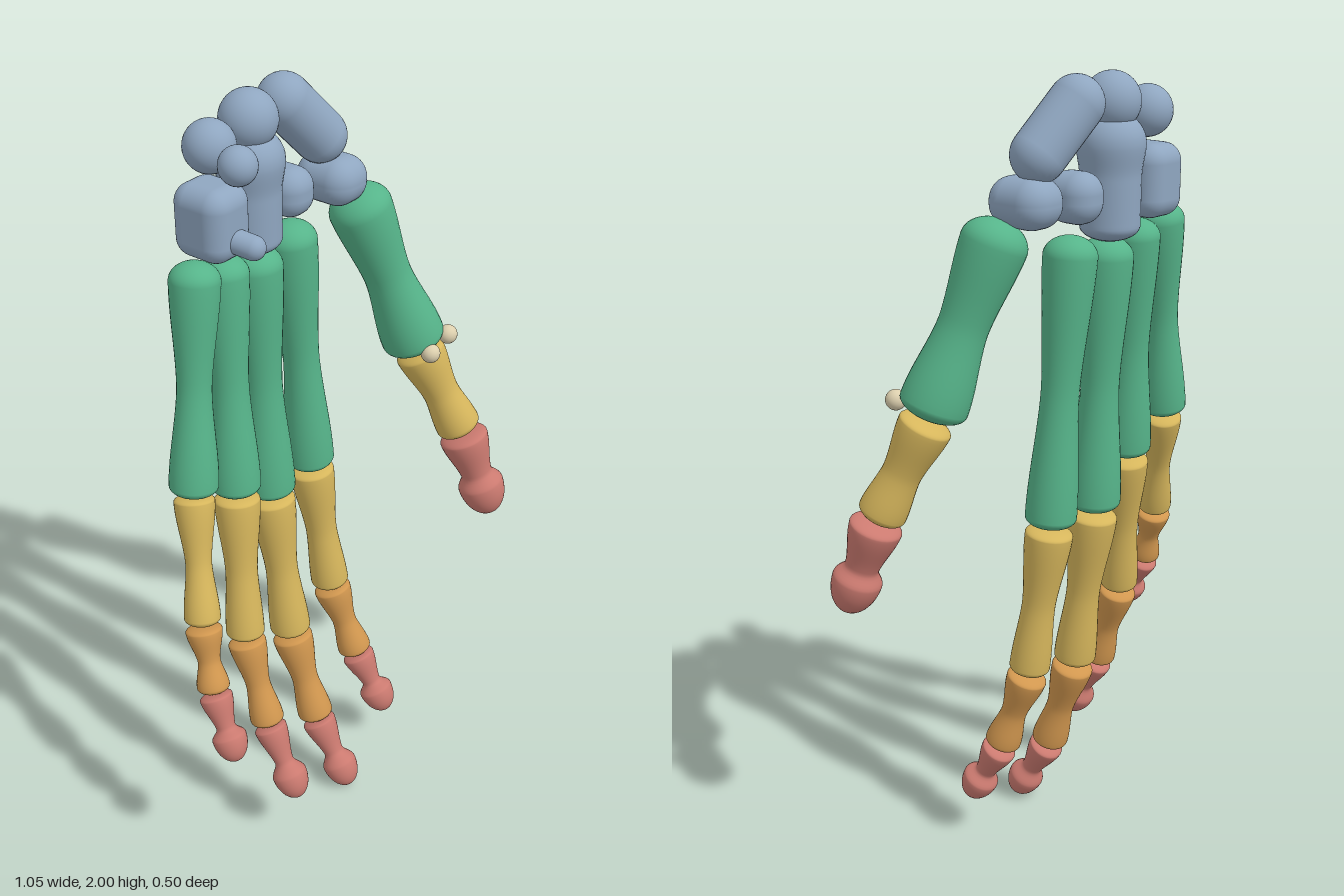
import * as THREE from 'three';
import { RoundedBoxGeometry } from 'three/addons/geometries/RoundedBoxGeometry.js';

const mat = (color) => new THREE.MeshStandardMaterial({ color });
const carpalMat = mat(0x8fa6c0);
const metacarpalMat = mat(0x56b48a);
const proximalMat = mat(0xd6b65c);
const middleMat = mat(0xd1974f);
const distalMat = mat(0xcb7a70);
const sesamoidMat = mat(0xdccfae);
const UP = new THREE.Vector3(0, 1, 0);

// Turned shape between two points: rounded ends of radius r0 and r1, narrowed to a waist
function bone(name, material, from, to, [r0, waist, r1], cap0 = 0.5, cap1 = 0.6) {
  const a = new THREE.Vector3(...from);
  const dir = new THREE.Vector3(...to).sub(a);
  const L = dir.length();
  const h0 = r0 * cap0, h1 = r1 * cap1;
  const width = (y) => {
    const s0 = 1 - THREE.MathUtils.smoothstep(y, h0 * 0.7, L * 0.55);
    const s1 = THREE.MathUtils.smoothstep(y, L * 0.5, L - h1);
    return waist + (r0 - waist) * s0 + (r1 - waist) * s1;
  };
  const pts = [];
  const steps = 10;
  for (let i = 0; i <= steps; i++) {
    const t = (i / steps) * Math.PI / 2;
    const y = h0 * (1 - Math.cos(t));
    pts.push(new THREE.Vector2(width(y) * Math.sin(t), y));
  }
  for (let i = 1; i < 24; i++) {
    const y = h0 + (L - h0 - h1) * i / 24;
    pts.push(new THREE.Vector2(width(y), y));
  }
  for (let i = 0; i <= steps; i++) {
    const t = (i / steps) * Math.PI / 2;
    pts.push(new THREE.Vector2(i === steps ? 0 : r1 * Math.cos(t), L - h1 + h1 * Math.sin(t)));
  }
  const mesh = new THREE.Mesh(new THREE.LatheGeometry(pts, 32), material);
  mesh.name = name;
  mesh.position.copy(a);
  mesh.quaternion.setFromUnitVectors(UP, dir.normalize());
  return mesh;
}

function ball(name, material, pos, r) {
  const mesh = new THREE.Mesh(new THREE.SphereGeometry(r, 32, 20), material);
  mesh.name = name;
  mesh.position.set(...pos);
  return mesh;
}

function block(name, pos, size, radius) {
  const mesh = new THREE.Mesh(new RoundedBoxGeometry(...size, 5, radius), carpalMat);
  mesh.name = name;
  mesh.position.set(...pos);
  return mesh;
}

// Capsule between two end centres
function capsule(name, from, to, r) {
  const a = new THREE.Vector3(...from), b = new THREE.Vector3(...to);
  const mesh = new THREE.Mesh(new THREE.CapsuleGeometry(r, a.distanceTo(b), 10, 32), carpalMat);
  mesh.name = name;
  mesh.position.copy(a).lerp(b, 0.5);
  mesh.quaternion.setFromUnitVectors(UP, b.sub(a).normalize());
  return mesh;
}

// Joint positions from wrist to fingertip, then [base, waist, head] radii for each bone
const DIGITS = {
  thumb: {
    joints: [[0.215, 1.69, -0.085], [0.357, 1.23, 0.025], [0.432, 0.97, 0.13], [0.472, 0.72, 0.215]],
    radii: [[0.08, 0.06, 0.083], [0.066, 0.048, 0.06], [0.066, 0.042, 0.063]],
  },
  indexFinger: {
    joints: [[0.06, 1.64, -0.155], [0.11, 0.925, -0.135], [0.14, 0.52, -0.09], [0.165, 0.29, -0.015], [0.182, 0.11, 0.083]],
    radii: [[0.065, 0.046, 0.064], [0.06, 0.042, 0.052], [0.052, 0.033, 0.047], [0.046, 0.026, 0.048]],
  },
  middleFinger: {
    joints: [[-0.063, 1.62, -0.16], [-0.055, 0.922, -0.137], [-0.048, 0.475, -0.082], [-0.043, 0.2, 0.003], [-0.04, 0.005, 0.118]],
    radii: [[0.066, 0.047, 0.066], [0.062, 0.043, 0.055], [0.055, 0.036, 0.049], [0.047, 0.027, 0.048]],
  },
  ringFinger: {
    joints: [[-0.18, 1.645, -0.155], [-0.214, 1.022, -0.112], [-0.26, 0.612, -0.06], [-0.272, 0.36, 0.02], [-0.282, 0.163, 0.128]],
    radii: [[0.06, 0.045, 0.062], [0.058, 0.041, 0.05], [0.05, 0.032, 0.045], [0.044, 0.025, 0.047]],
  },
  littleFinger: {
    joints: [[-0.278, 1.67, -0.15], [-0.363, 1.1, -0.115], [-0.437, 0.783, -0.04], [-0.466, 0.612, 0.013], [-0.49, 0.448, 0.1]],
    radii: [[0.06, 0.041, 0.06], [0.05, 0.032, 0.045], [0.046, 0.028, 0.041], [0.042, 0.024, 0.044]],
  },
};

export function createModel() {
  const model = new THREE.Group();
  model.name = 'handSkeleton';

  // Wrist bones
  const wrist = new THREE.Group();
  wrist.name = 'wrist';
  wrist.add(
    capsule('scaphoid', [0.06, 1.935, -0.165], [0.153, 1.83, -0.135], 0.065),
    ball('lunate', carpalMat, [-0.065, 1.93, -0.165], 0.069),
    ball('triquetrum', carpalMat, [-0.182, 1.9, -0.178], 0.061),
    ball('pisiform', carpalMat, [-0.2, 1.885, -0.082], 0.045),
    block('trapezium', [0.173, 1.725, -0.115], [0.133, 0.117, 0.165], 0.055),
    block('trapezoid', [0.05, 1.725, -0.155], [0.11, 0.12, 0.13], 0.05),
    bone('capitate', carpalMat, [-0.065, 1.61, -0.165], [-0.065, 1.91, -0.165], [0.072, 0.073, 0.082], 0.5, 0.9),
    block('hamate', [-0.2, 1.738, -0.165], [0.133, 0.175, 0.15], 0.045),
    capsule('hamateHook', [-0.2, 1.705, -0.11], [-0.187, 1.695, -0.056], 0.029),
  );
  model.add(wrist);

  // Digits: the thumb has no middle phalanx
  for (const [name, { joints, radii }] of Object.entries(DIGITS)) {
    const digit = new THREE.Group();
    digit.name = name;
    const parts = [['metacarpal', metacarpalMat], ['proximalPhalanx', proximalMat],
      ['middlePhalanx', middleMat], ['distalPhalanx', distalMat]];
    if (radii.length === 3) parts.splice(2, 1);
    parts.forEach(([part, material], i) => {
      const tip = i === parts.length - 1;
      const cap0 = i === 0 ? 0.75 : 0.3;
      digit.add(bone(part, material, joints[i], joints[i + 1], radii[i], cap0, tip ? 1.5 : 0.45));
    });
    model.add(digit);
  }

  // Pair of small beads at the thumb knuckle
  const thumb = model.getObjectByName('thumb');
  thumb.add(
    ball('innerSesamoid', sesamoidMat, [0.318, 1.25, 0.093], 0.025),
    ball('outerSesamoid', sesamoidMat, [0.395, 1.272, 0.093], 0.025),
  );
  return model;
}
